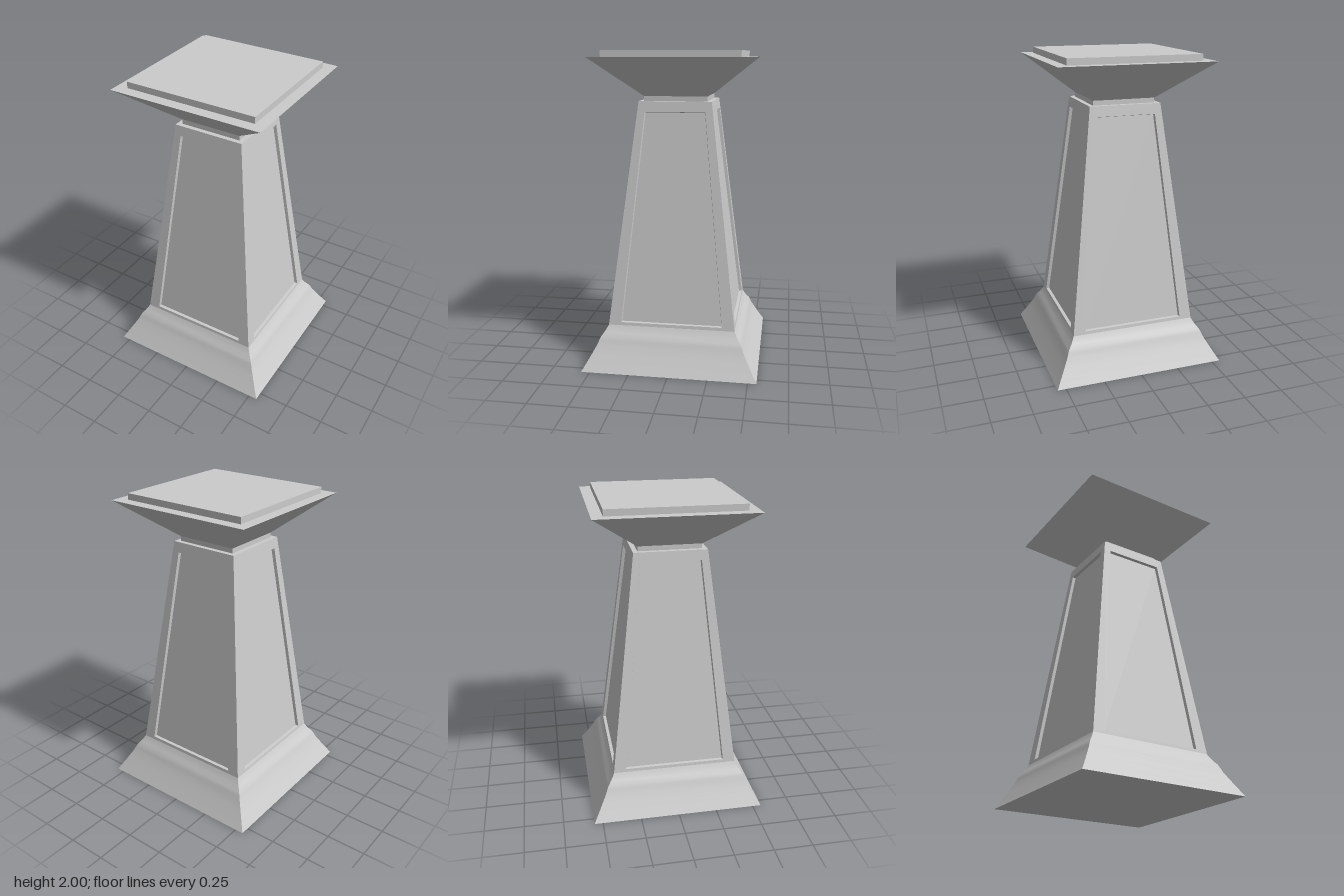
import * as THREE from 'three';
import { toCreasedNormals } from 'three/addons/utils/BufferGeometryUtils.js';

const grey = new THREE.MeshStandardMaterial({ color: 0xcccccc });

// Square solid from a profile of [half width, height], listed bottom to top
function squareLoft(name, profile) {
  const points = profile.map(([r, y]) => new THREE.Vector2(r * Math.SQRT2, y));
  const geometry = new THREE.LatheGeometry(points, 4).rotateY(Math.PI / 4);
  const mesh = new THREE.Mesh(toCreasedNormals(geometry, 0.4), grey);
  mesh.name = name;
  return mesh;
}

const SHAFT = { y0: 0.27, y1: 1.69, w0: 0.405, w1: 0.23 };
const shaftHalf = (y) =>
  THREE.MathUtils.mapLinear(y, SHAFT.y0, SHAFT.y1, SHAFT.w0, SHAFT.w1);

// Four corners, counter-clockwise, lying on the sloping face or sunk behind it
function faceLoop(yBottom, halfBottom, yTop, halfTop, depth) {
  const zb = shaftHalf(yBottom) - depth, zt = shaftHalf(yTop) - depth;
  return [
    [-halfBottom, yBottom, zb], [halfBottom, yBottom, zb],
    [halfTop, yTop, zt], [-halfTop, yTop, zt],
  ];
}

// One tapered side: a border, the walls of the recess and the sunken panel
function shaftSideGeometry() {
  const loops = [
    faceLoop(SHAFT.y0, SHAFT.w0, SHAFT.y1, SHAFT.w1, 0),
    faceLoop(0.29, 0.325, 1.625, 0.191, 0),
    faceLoop(0.292, 0.321, 1.62, 0.187, 0.02),
  ];
  const positions = [];
  const quad = (a, b, c, d) => positions.push(...a, ...b, ...c, ...a, ...c, ...d);
  for (let k = 0; k < 2; k++) {
    for (let i = 0; i < 4; i++) {
      const j = (i + 1) % 4;
      quad(loops[k][i], loops[k][j], loops[k + 1][j], loops[k + 1][i]);
    }
  }
  quad(...loops[2]);
  const geometry = new THREE.BufferGeometry();
  geometry.setAttribute('position', new THREE.Float32BufferAttribute(positions, 3));
  geometry.computeVertexNormals();
  return geometry;
}

export function createModel() {
  const model = new THREE.Group();
  model.name = 'pedestal';

  // Moulded foot
  model.add(squareLoft('base', [
    [0, 0], [0.555, 0], [0.523, 0.055], [0.495, 0.105], [0.468, 0.155],
    [0.458, 0.18], [0.448, 0.202], [0.428, 0.228], [0.414, 0.252], [0.405, 0.27],
  ]));

  // Tapered shaft with a recessed panel on every side
  const shaft = new THREE.Group();
  shaft.name = 'shaft';
  const side = shaftSideGeometry();
  ['front', 'left', 'back', 'right'].forEach((label, i) => {
    const mesh = new THREE.Mesh(side, grey);
    mesh.name = `${label}Panel`;
    mesh.rotation.y = i * Math.PI / 2;
    shaft.add(mesh);
  });
  shaft.add(squareLoft('shaftTop', [[0.23, 1.69], [0, 1.69]]));
  model.add(shaft);

  // Narrow neck, flared capital and the raised slab on top
  model.add(squareLoft('neck', [[0.2, 1.69], [0.2, 1.72]]));
  model.add(squareLoft('capital', [[0.2, 1.72], [0.49, 1.96], [0.42, 1.96]]));
  model.add(squareLoft('topSlab', [[0.42, 1.96], [0.42, 2], [0, 2]]));
  return model;
}
